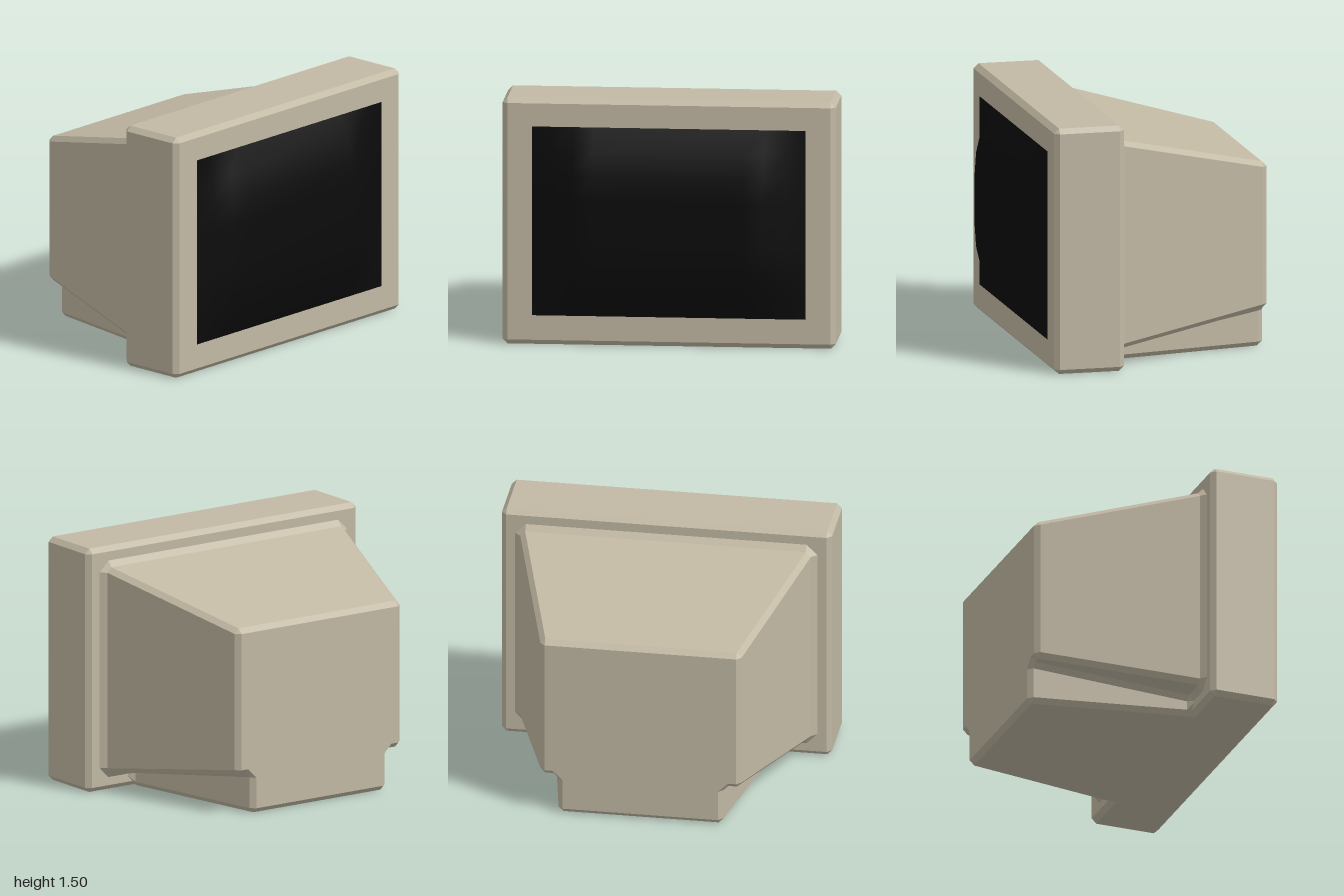
import * as THREE from 'three';
import { ConvexGeometry } from 'three/addons/geometries/ConvexGeometry.js';

const CHAMFER = 0.03;

// Box with every edge cut at 45 degrees
function chamferedBox(w, h, d, c) {
  const pts = [];
  for (const sx of [-1, 1]) for (const sy of [-1, 1]) for (const sz of [-1, 1])
    for (let flush = 0; flush < 3; flush++) {
      const half = [w / 2, h / 2, d / 2].map((v, i) => (i === flush ? v : v - c));
      pts.push(new THREE.Vector3(sx * half[0], sy * half[1], sz * half[2]));
    }
  return new ConvexGeometry(pts);
}

// Housing cross-section: wide body above a narrower foot.
// grow offsets the outline, sharpening or widening its chamfers.
function section({ z, w, top, step, foot, grow }) {
  const c = CHAMFER + grow, k = Math.max(0, CHAMFER - grow);
  const base = Math.max(0, -grow);
  w += grow; foot += grow; top += grow; step -= grow;
  const half = [
    [foot - c, base], [foot, base + c], [foot, step - k], [foot + k, step],
    [w - c, step], [w, step + c], [w, top - c], [w - c, top],
  ];
  const mirrored = half.map(([x, y]) => [-x, y]).reverse();
  return [...half, ...mirrored].map(([x, y]) => new THREE.Vector3(x, y, z));
}

// Skin between sections running from front to back, with the rear end closed
function loft(rings) {
  const n = rings[0].length, index = [];
  for (let i = 0; i < rings.length - 1; i++)
    for (let j = 0; j < n; j++) {
      const a = i * n + j, b = i * n + (j + 1) % n;
      index.push(a, a + n, b, b, a + n, b + n);
    }
  const last = rings.length - 1;
  const outline = rings[last].map((p) => new THREE.Vector2(p.x, p.y));
  for (const [a, b, c] of THREE.ShapeUtils.triangulateShape(outline, []))
    index.push(last * n + a, last * n + c, last * n + b);
  const geo = new THREE.BufferGeometry().setFromPoints(rings.flat());
  geo.setIndex(index);
  const flat = geo.toNonIndexed();
  flat.computeVertexNormals();
  return flat;
}

// Bulging glass: a grid whose depth is the product of two edge profiles
function bulge(w, h, depth) {
  const across = [[1, 0], [0.86, 0.3], [0.7, 0.79], [0.55, 1]];
  const upward = [[1, 0], [0.76, 0.53], [0.5, 0.9], [0.25, 1]];
  const full = (p) => [...p.map(([t, f]) => [-t, f]), ...[...p].reverse()];
  const cols = full(across), rows = full(upward).reverse();
  const geo = new THREE.PlaneGeometry(w, h, cols.length - 1, rows.length - 1);
  const pos = geo.attributes.position;
  rows.forEach(([v, fv], r) => cols.forEach(([u, fu], c) =>
    pos.setXYZ(r * cols.length + c, u * w / 2, v * h / 2, depth * fu * fv)));
  geo.computeVertexNormals();
  return geo;
}

export function createModel() {
  const model = new THREE.Group();
  model.name = 'monitor';
  const plastic = new THREE.MeshStandardMaterial({ color: 0xc2b9a4, flatShading: true });
  const glass = new THREE.MeshStandardMaterial({ color: 0x0b0b0b });

  const add = (name, geometry, material, y, z) => {
    const mesh = new THREE.Mesh(geometry, material);
    mesh.name = name;
    mesh.position.set(0, y, z);
    model.add(mesh);
  };

  // Front case around the screen
  add('frontCase', chamferedBox(2, 1.5, 0.43, CHAMFER), plastic, 0.75, 0.43);

  // Tapering rear housing with its flared collar and chamfered back
  const front = { w: 0.88, top: 1.38, step: 0.115, foot: 0.67 };
  const rear = { w: 0.61, top: 1.15, step: 0.25, foot: 0.5 };
  add('rearHousing', loft([
    section({ ...front, z: 0.25, grow: 0.035 }),
    section({ ...front, z: 0.215, grow: 0.035 }),
    section({ ...front, z: 0.185, grow: 0 }),
    section({ ...rear, z: -0.735, grow: 0 }),
    section({ ...rear, z: -0.765, grow: -CHAMFER }),
  ]), plastic, 0, 0);

  // Convex screen
  add('screen', bulge(1.64, 1.15, 0.12), glass, 0.755, 0.646);

  return model;
}
